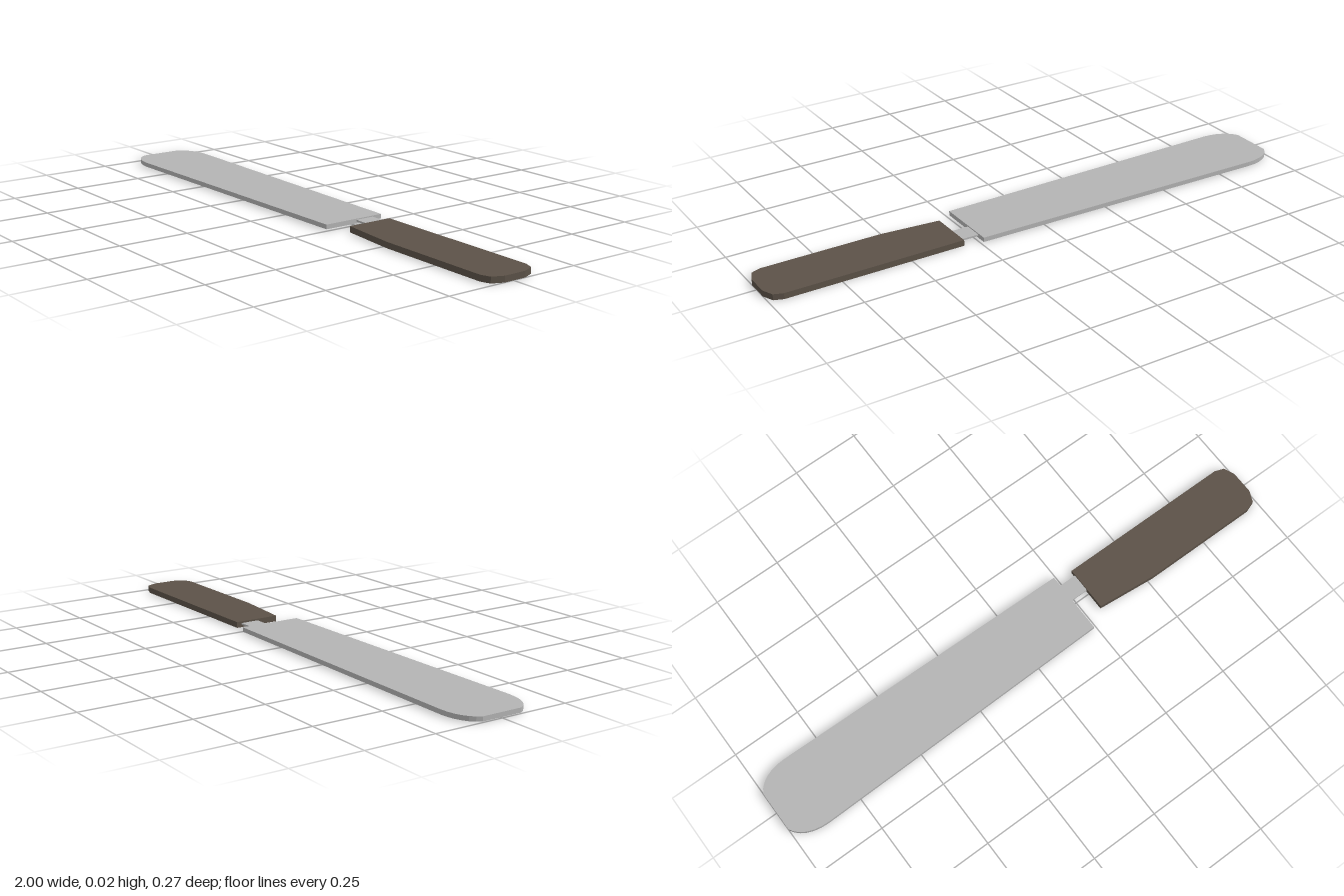
import * as THREE from 'three';

// Flat slab: outline drawn in plan (x right, y towards the back), raised from y0 to y1
function slab(name, shape, y0, y1, material) {
  const geometry = new THREE.ExtrudeGeometry(shape, {
    depth: y1 - y0, bevelEnabled: false, curveSegments: 6,
  });
  geometry.rotateX(-Math.PI / 2).translate(0, y0, 0);
  const mesh = new THREE.Mesh(geometry, material);
  mesh.name = name;
  return mesh;
}

export function createModel() {
  const steel = new THREE.MeshStandardMaterial({ color: 0xb4b4b4 });
  steel.name = 'steel';
  const wood = new THREE.MeshStandardMaterial({ color: 0x5c5248 });
  wood.name = 'dark wood';

  // Blade: widens slightly towards its rounded tip
  const blade = new THREE.Shape();
  blade.moveTo(0.24, 0.116);
  blade.lineTo(-0.88, 0.134);
  blade.bezierCurveTo(-0.94, 0.134, -0.985, 0.11, -1, 0.075);
  blade.lineTo(-1, -0.073);
  blade.bezierCurveTo(-0.985, -0.108, -0.94, -0.132, -0.88, -0.132);
  blade.lineTo(0.24, -0.113);
  blade.closePath();

  // Tang: thin strip, off centre, running into blade and handle
  const tang = new THREE.Shape([
    [0.22, 0.08], [0.22, 0.012], [0.33, 0.012], [0.33, 0.08],
  ].map(([x, y]) => new THREE.Vector2(x, y)));

  // Handle: straight back edge, tapered front edge, clipped round end
  const handle = new THREE.Shape([
    [0.305, -0.067], [0.52, -0.087], [0.95, -0.087], [0.983, -0.075],
    [1, -0.035], [1, 0.048], [0.983, 0.087], [0.95, 0.099], [0.305, 0.099],
  ].map(([x, y]) => new THREE.Vector2(x, y)));

  const group = new THREE.Group();
  group.name = 'spatula';
  group.add(
    slab('blade', blade, 0.003, 0.019, steel),
    slab('tang', tang, 0.009, 0.015, steel),
    slab('handle', handle, 0, 0.021, wood),
  );
  return group;
}
